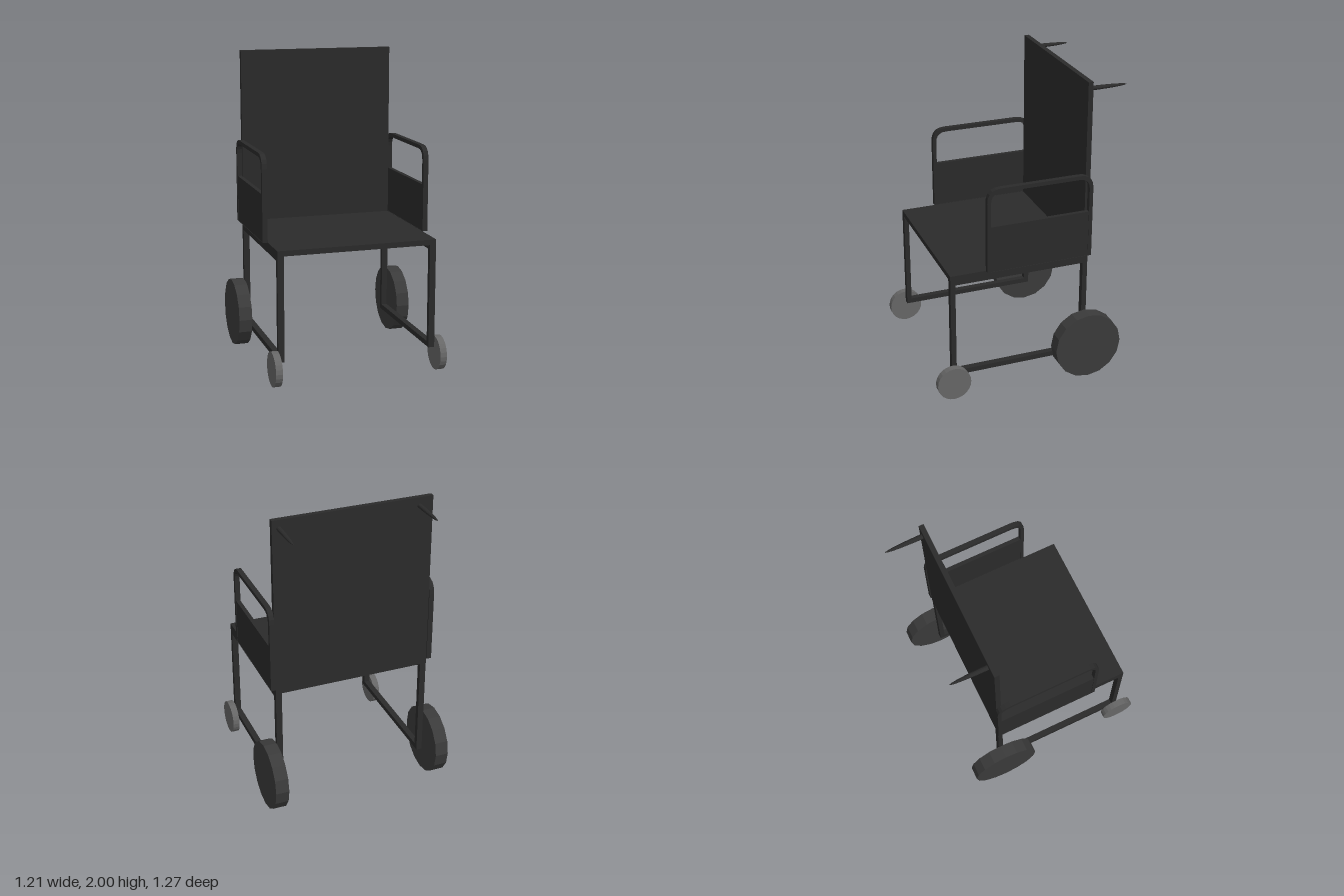
import * as THREE from 'three';

const mat = (color) => new THREE.MeshStandardMaterial({ color, flatShading: true });
const dark = mat(0x2a2a2a);
const tyre = mat(0x3a3a3a);
const light = mat(0x666666);

// Box given by its min and max corners
function box(name, x0, x1, y0, y1, z0, z1) {
  const m = new THREE.Mesh(new THREE.BoxGeometry(x1 - x0, y1 - y0, z1 - z0), dark);
  m.position.set((x0 + x1) / 2, (y0 + y1) / 2, (z0 + z1) / 2);
  m.name = name;
  return m;
}

// Profile drawn in (z, y), extruded along x from x0 to x1
function sidePlate(name, shape, x0, x1) {
  const geo = new THREE.ExtrudeGeometry(shape, { depth: x1 - x0, bevelEnabled: false, curveSegments: 5 });
  geo.rotateY(-Math.PI / 2);
  geo.translate(x1, 0, 0);
  const m = new THREE.Mesh(geo, dark);
  m.name = name;
  return m;
}

function rect(path, z0, z1, y0, y1) {
  path.moveTo(z0, y0).lineTo(z1, y0).lineTo(z1, y1).lineTo(z0, y1).closePath();
  return path;
}

// Rectangle with its two upper corners rounded
function arch(path, z0, z1, y0, y1, r) {
  path.moveTo(z0, y0).lineTo(z1, y0).lineTo(z1, y1 - r);
  path.quadraticCurveTo(z1, y1, z1 - r, y1);
  path.lineTo(z0 + r, y1);
  path.quadraticCurveTo(z0, y1, z0, y1 - r);
  path.closePath();
  return path;
}

function wheel(name, x0, x1, y, z, r, sides, material) {
  const geo = new THREE.CylinderGeometry(r, r, x1 - x0, sides);
  geo.rotateZ(Math.PI / 2);
  const m = new THREE.Mesh(geo, material);
  m.position.set((x0 + x1) / 2, y, z);
  m.name = name;
  return m;
}

// Tapering push handle pointing backwards
function handle(name, x) {
  const pts = [];
  for (let i = 0; i <= 10; i++) {
    const a = (i / 10) * Math.PI / 2;
    pts.push(new THREE.Vector2(Math.max(0.016 * Math.cos(a), 0), 0.24 * Math.sin(a)));
  }
  const geo = new THREE.LatheGeometry(pts, 12);
  geo.rotateX(-Math.PI / 2);
  const m = new THREE.Mesh(geo, dark);
  m.position.set(x, 1.945, -0.395);
  m.scale.y = 0.85;
  m.name = name;
  return m;
}

export function createModel() {
  const group = new THREE.Group();
  group.name = 'wheelchair';

  // Seat and backrest
  group.add(box('seat', -0.517, 0.517, 0.825, 0.86, -0.395, 0.525));
  group.add(box('backrest', -0.517, 0.517, 0.86, 2, -0.395, -0.363));

  // Side frame: legs, upper rail and lower rail in one loop
  const frame = rect(new THREE.Shape(), -0.393, 0.525, 0.15, 0.825);
  frame.holes.push(rect(new THREE.Path(), -0.361, 0.493, 0.183, 0.795));

  // Armrest loop around an opening and a slightly thinner panel
  const arm = arch(new THREE.Shape(), -0.402, 0.294, 0.86, 1.415, 0.09);
  arm.holes.push(arch(new THREE.Path(), -0.378, 0.27, 0.861, 1.39, 0.07));

  for (const s of [-1, 1]) {
    const side = s > 0 ? 'left' : 'right';
    const span = (a, b) => (s > 0 ? [a, b] : [-b, -a]);
    group.add(sidePlate(side + 'Frame', frame, ...span(0.477, 0.517)));
    group.add(sidePlate(side + 'Armrest', arm, ...span(0.517, 0.55)));
    group.add(box(side + 'ArmPanel', ...span(0.52, 0.547), 0.86, 1.165, -0.385, 0.28));
    group.add(wheel(side + 'RearWheel', ...span(0.515, 0.603), 0.225, -0.38, 0.225, 16, tyre));
    group.add(wheel(side + 'FrontWheel', ...span(0.517, 0.561), 0.113, 0.523, 0.111, 24, light));
  }

  // Push handles
  group.add(handle('rightHandle', -0.429));
  group.add(handle('leftHandle', 0.472));

  return group;
}
